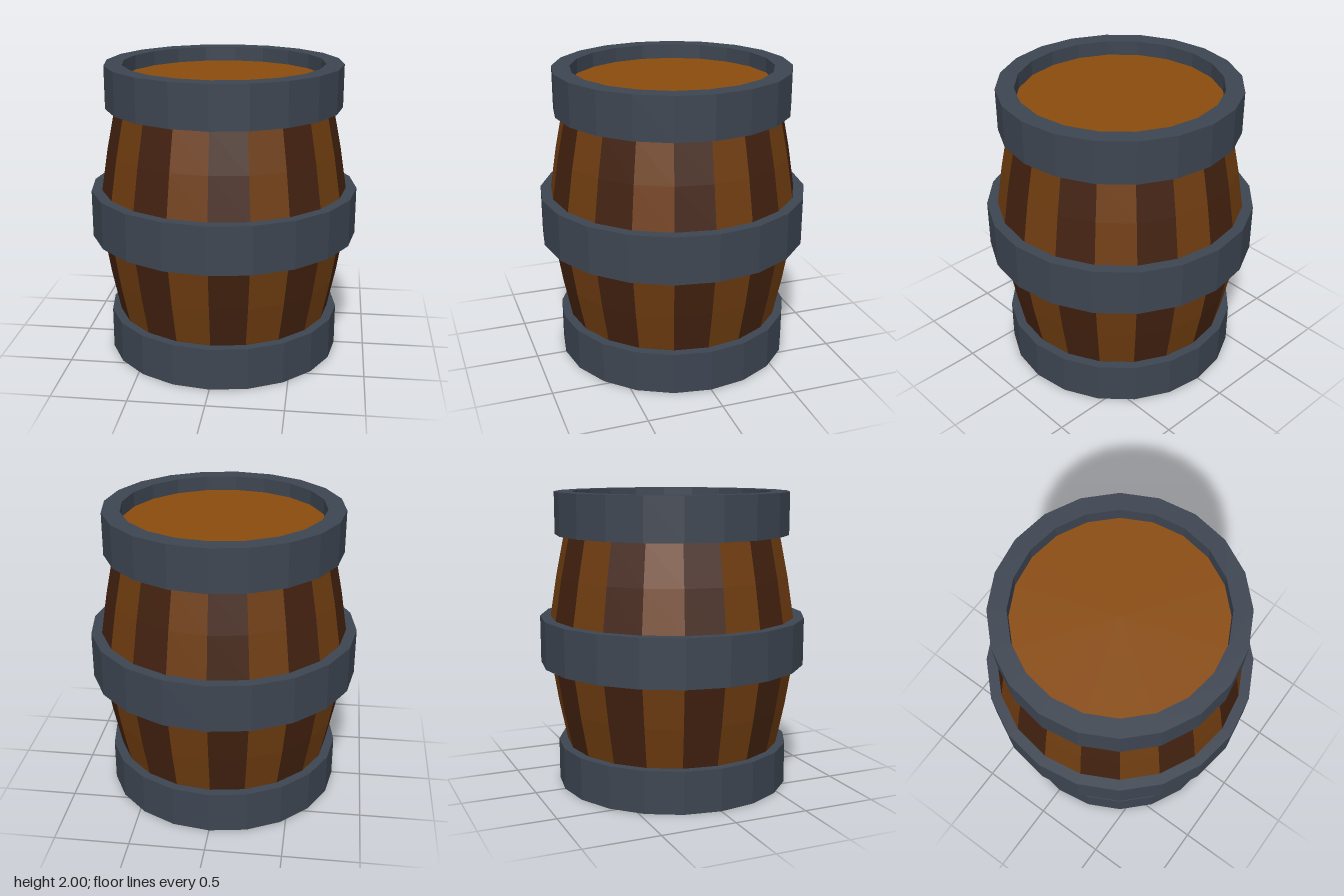
import * as THREE from 'three';

const SIDES = 20;
const HEIGHT = 2;

const paint = (color) => new THREE.MeshStandardMaterial({ color, flatShading: true });

export function createModel() {
  const barrel = new THREE.Group();
  barrel.name = 'barrel';

  const darkWood = paint(0x42210f);
  const lightWood = paint(0x6e3c10);
  const lidWood = paint(0x8a4c0e);
  const iron = paint(0x3d4551);

  const add = (name, geometry, material, parent = barrel) => {
    const mesh = new THREE.Mesh(geometry, material);
    mesh.name = name;
    parent.add(mesh);
    return mesh;
  };

  // Bulging staves, one facet each, alternating dark and light
  const profile = [
    [0.68, 0.1], [0.735, 0.29], [0.79, 0.56], [0.835, 0.84],
    [0.835, 1.16], [0.79, 1.44], [0.735, 1.71], [0.68, 1.9],
  ].map(([r, y]) => new THREE.Vector2(r, y));
  const staves = new THREE.Group();
  staves.name = 'staves';
  barrel.add(staves);
  const step = (Math.PI * 2) / SIDES;
  for (let i = 0; i < SIDES; i++) {
    const geometry = new THREE.LatheGeometry(profile, 1, i * step, step);
    add('stave', geometry, i % 2 ? lightWood : darkWood, staves);
  }

  // Iron hoops: closed rings of rectangular section
  const addHoop = (name, inner, outer, bottom, top) => {
    const section = [
      [inner, bottom], [outer, bottom], [outer, top], [inner, top], [inner, bottom],
    ].map(([r, y]) => new THREE.Vector2(r, y));
    add(name, new THREE.LatheGeometry(section, SIDES), iron);
  };
  addHoop('bottomHoop', 0.675, 0.795, 0, 0.285);
  addHoop('middleHoop', 0.8, 0.907, 0.84, 1.16);
  addHoop('topHoop', 0.675, 0.795, HEIGHT - 0.285, HEIGHT);

  // Recessed lid and base
  for (const [name, y, turn] of [['lid', 1.9, -1], ['base', 0.1, 1]]) {
    const disc = add(name, new THREE.CircleGeometry(0.68, SIDES), lidWood);
    disc.rotation.x = (turn * Math.PI) / 2;
    disc.position.y = y;
  }

  return barrel;
}
